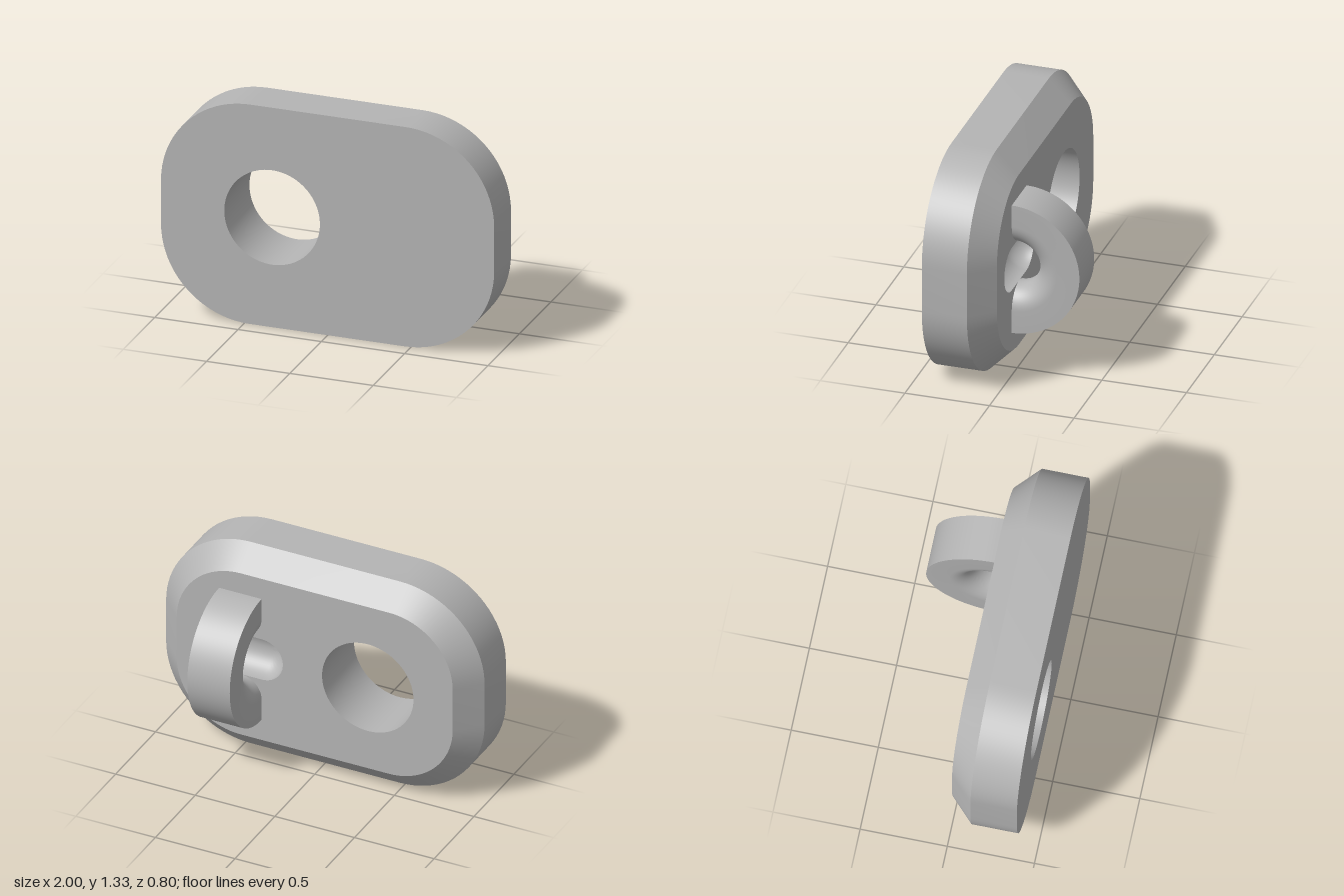
import * as THREE from 'three';
import { mergeGeometries, toCreasedNormals } from 'three/addons/utils/BufferGeometryUtils.js';

const U = 0.4 / 3; // basic module of the part

// Counter-clockwise rounded rectangle: corner centres at (cx ± a, ± b), corner radius r
function outline(cx, a, b, r, steps = 20) {
  const pts = [];
  [[a, b], [-a, b], [-a, -b], [a, -b]].forEach(([x, y], q) => {
    for (let i = 0; i <= steps; i++) {
      const t = (q + i / steps) * Math.PI / 2;
      pts.push(new THREE.Vector2(cx + x + r * Math.cos(t), y + r * Math.sin(t)));
    }
  });
  return pts;
}

// Skin through loops of equal length, each { pts, z }, ordered by rising z
function loft(loops, inward = false) {
  const pos = [];
  const put = (loop, i) => {
    const p = loop.pts[i % loop.pts.length];
    pos.push(p.x, p.y, loop.z);
  };
  for (let k = 0; k < loops.length - 1; k++) {
    const lo = loops[k], hi = loops[k + 1];
    for (let i = 0; i < lo.pts.length; i++) {
      const quad = [[lo, i], [lo, i + 1], [hi, i + 1], [lo, i], [hi, i + 1], [hi, i]];
      if (inward) quad.reverse();
      quad.forEach(([loop, n]) => put(loop, n));
    }
  }
  const g = new THREE.BufferGeometry();
  g.setAttribute('position', new THREE.Float32BufferAttribute(pos, 3));
  return toCreasedNormals(g, 0.5);
}

// Flat face with holes
function face(pts, holes, z) {
  const shape = new THREE.Shape(pts);
  holes.forEach(h => shape.holes.push(new THREE.Path(h)));
  const g = new THREE.ShapeGeometry(shape).toNonIndexed();
  g.deleteAttribute('uv');
  return g.translate(0, 0, z);
}

export function createModel() {
  const model = new THREE.Group();
  const grey = new THREE.MeshStandardMaterial({ color: 0xb4b4b4 });
  grey.name = 'plain grey';
  const add = (name, geometry) => {
    const mesh = new THREE.Mesh(geometry, grey);
    mesh.name = name;
    mesh.position.y = 5 * U;
    model.add(mesh);
    return mesh;
  };

  const depth = 3 * U, holeX = -2.5 * U, ringX = 3.5 * U, holeR = 0.287;
  const rim = outline(0, 3.5 * U, U, 4 * U);
  const backRim = outline(0, 3.5 * U, U, 3 * U);
  const hole = outline(holeX, 0, 0, holeR);
  const mirrored = pts => pts.map(p => new THREE.Vector2(-p.x, p.y));
  const slot = r => outline(ringX, U, 0, r);

  // Plate: front face, back face, straight edge and chamfer
  const back = face(backRim, [mirrored(hole), mirrored(slot(U))], 0).rotateY(Math.PI);
  add('plate', mergeGeometries([
    face(rim, [hole], depth),
    back,
    loft([{ pts: rim, z: U }, { pts: rim, z: depth }]),
    loft([{ pts: backRim, z: 0 }, { pts: rim, z: U }]),
  ]));

  // Wall of the round through hole
  add('throughHole', loft([{ pts: hole, z: 0 }, { pts: hole, z: depth }], true));

  // Round-bottomed groove under the loop
  const grooveLoops = [];
  for (let i = 0; i <= 14; i++) {
    const t = (i / 14) * Math.PI / 2;
    grooveLoops.push({ pts: slot(U * Math.max(Math.cos(t), 0)), z: U * Math.sin(t) });
  }
  add('groove', loft(grooveLoops, true));

  // Half-ring loop: flat outside and sides, rounded inside
  const profile = [new THREE.Vector2(3 * U, -U), new THREE.Vector2(3 * U, U)];
  for (let i = 0; i <= 24; i++) {
    const t = Math.PI / 2 + (i / 24) * Math.PI;
    profile.push(new THREE.Vector2(2 * U + U * Math.cos(t), U * Math.sin(t)));
  }
  profile.push(profile[0].clone());
  const ring = new THREE.LatheGeometry(profile, 48, Math.PI / 2, Math.PI).rotateZ(Math.PI / 2);
  add('loop', toCreasedNormals(ring, 0.5)).position.x = ringX;

  return model;
}
